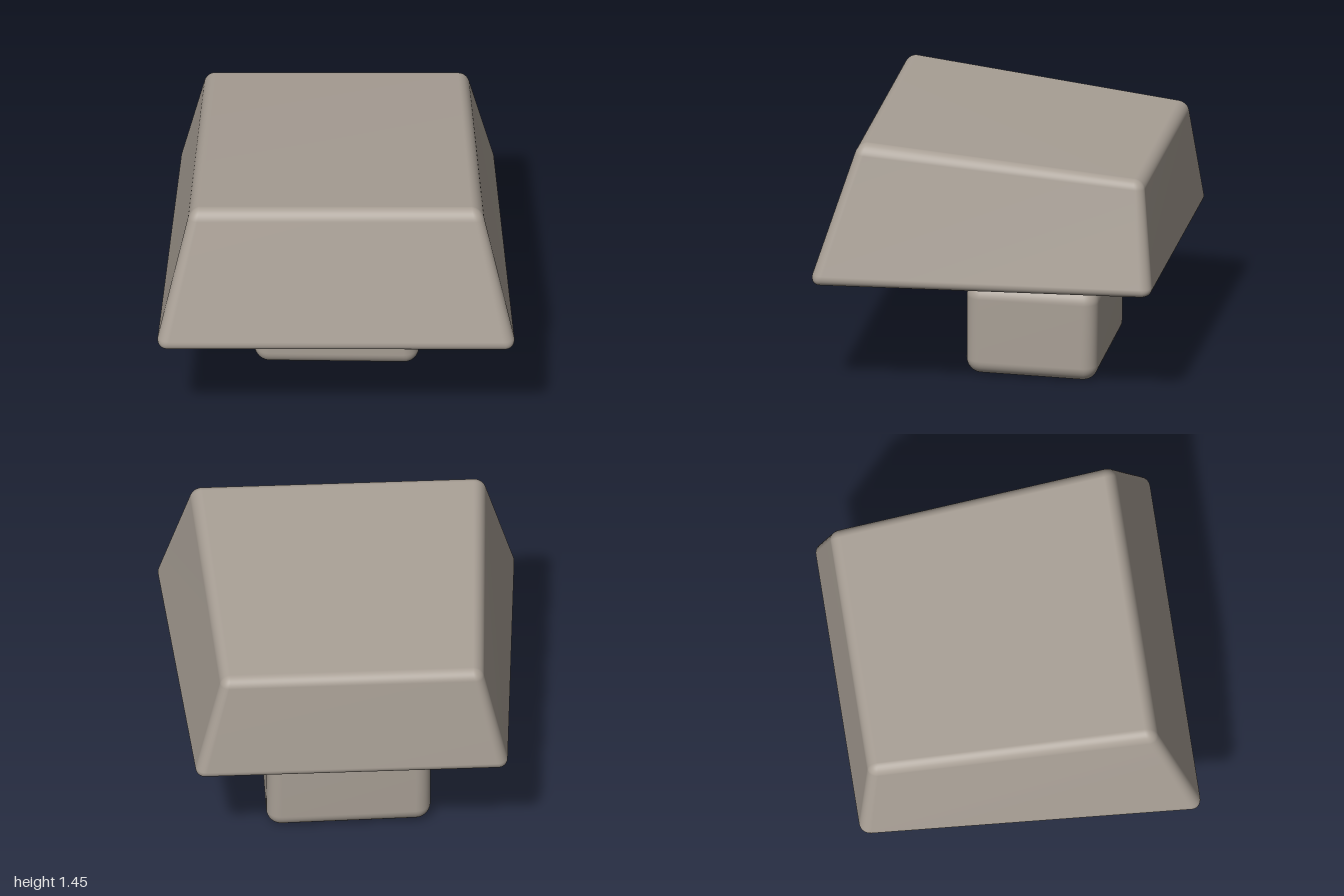
import * as THREE from 'three';
import { mergeVertices } from 'three/addons/utils/BufferGeometryUtils.js';
import { RoundedBoxGeometry } from 'three/addons/geometries/RoundedBoxGeometry.js';

// Soft-edged block stretched between eight corners.
// Corner order: bottom then top; each back left/right, front left/right as (-x, +x).
function softBlock(name, corners, size, radius, material) {
  let g = new RoundedBoxGeometry(...size, 5, radius);
  g.deleteAttribute('normal');
  g.deleteAttribute('uv');
  g.clearGroups();
  g = mergeVertices(g, 1e-4);
  const c = corners.map((p) => new THREE.Vector3(...p));
  const p = g.attributes.position;
  const v = new THREE.Vector3();
  for (let i = 0; i < p.count; i++) {
    const u = p.getX(i) / size[0] + 0.5;
    const h = p.getY(i) / size[1] + 0.5;
    const d = p.getZ(i) / size[2] + 0.5;
    v.set(0, 0, 0);
    c.forEach((corner, k) => {
      const w = (k & 1 ? u : 1 - u) * (k & 2 ? d : 1 - d) * (k & 4 ? h : 1 - h);
      v.addScaledVector(corner, w);
    });
    p.setXYZ(i, v.x, v.y, v.z);
  }
  g.computeVertexNormals();
  const mesh = new THREE.Mesh(g, material);
  mesh.name = name;
  return mesh;
}

export function createModel() {
  const group = new THREE.Group();
  group.name = 'taperedCapAndStem';
  const stone = new THREE.MeshStandardMaterial({ color: 0xa89f95 });
  stone.name = 'warm grey';

  // Tapered cap with a top that slopes down to the back
  group.add(softBlock('cap', [
    [-0.87, 0.66, -0.96], [0.88, 0.66, -0.96], [-1.01, 0.66, 0.96], [1.01, 0.66, 0.96],
    [-0.72, 1.295, -0.885], [0.72, 1.295, -0.885], [-0.81, 1.455, 0.71], [0.81, 1.455, 0.71],
  ], [1.8, 0.75, 1.8], 0.06, stone));

  // Small, slightly skewed block floating under the cap
  group.add(softBlock('stem', [
    [-0.455, 0.012, -0.57], [0.46, 0, -0.57], [-0.455, 0.022, 0.17], [0.46, 0.01, 0.17],
    [-0.455, 0.555, -0.575], [0.455, 0.535, -0.575], [-0.455, 0.56, 0.17], [0.455, 0.54, 0.17],
  ], [0.92, 0.54, 0.74], 0.085, stone));

  return group;
}
